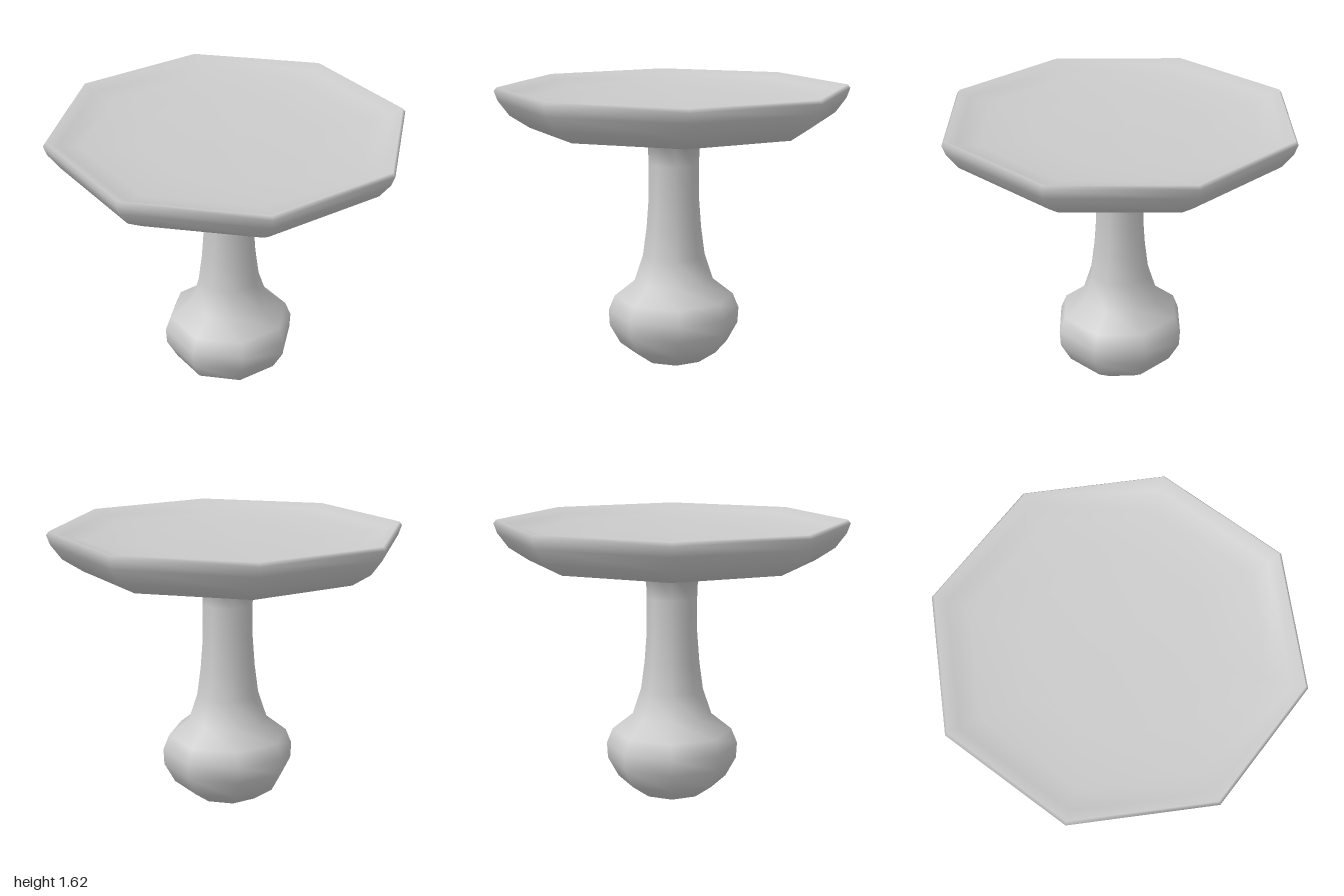
import * as THREE from 'three';

const SIDES = 8;

// Profiles run from the floor upward as [radius, height]
const foot = [
  [0, 0], [0.189, 0.045], [0.312, 0.13], [0.373, 0.24],
  [0.378, 0.33], [0.344, 0.415], [0.227, 0.507],
];
const column = [
  [0.178, 0.655], [0.157, 0.813], [0.144, 0.985], [0.143, 1.187], [0.15, 1.362],
];
// Rounded underside and narrow rim
const topUnderside = [
  [0.49, 1.362], [0.807, 1.398], [0.918, 1.468], [0.98, 1.55], [1, 1.605], [0.985, 1.625],
];
// Shallow dish inside the rim
const topDish = [[0.92, 1.595], [0.8, 1.57], [0.5, 1.545], [0, 1.54]];

export function createModel() {
  const group = new THREE.Group();
  group.name = 'pedestalTable';

  // One continuous turned piece, so shading flows from foot to column to top
  const profile = [...foot, ...column, ...topUnderside, ...topDish];
  const points = profile.map(([r, y]) => new THREE.Vector2(r, y));
  const table = new THREE.Mesh(
    new THREE.LatheGeometry(points, SIDES),
    new THREE.MeshStandardMaterial({ color: 0xcccccc }),
  );
  table.name = 'turnedPedestalAndTop';
  group.add(table);

  return group;
}
